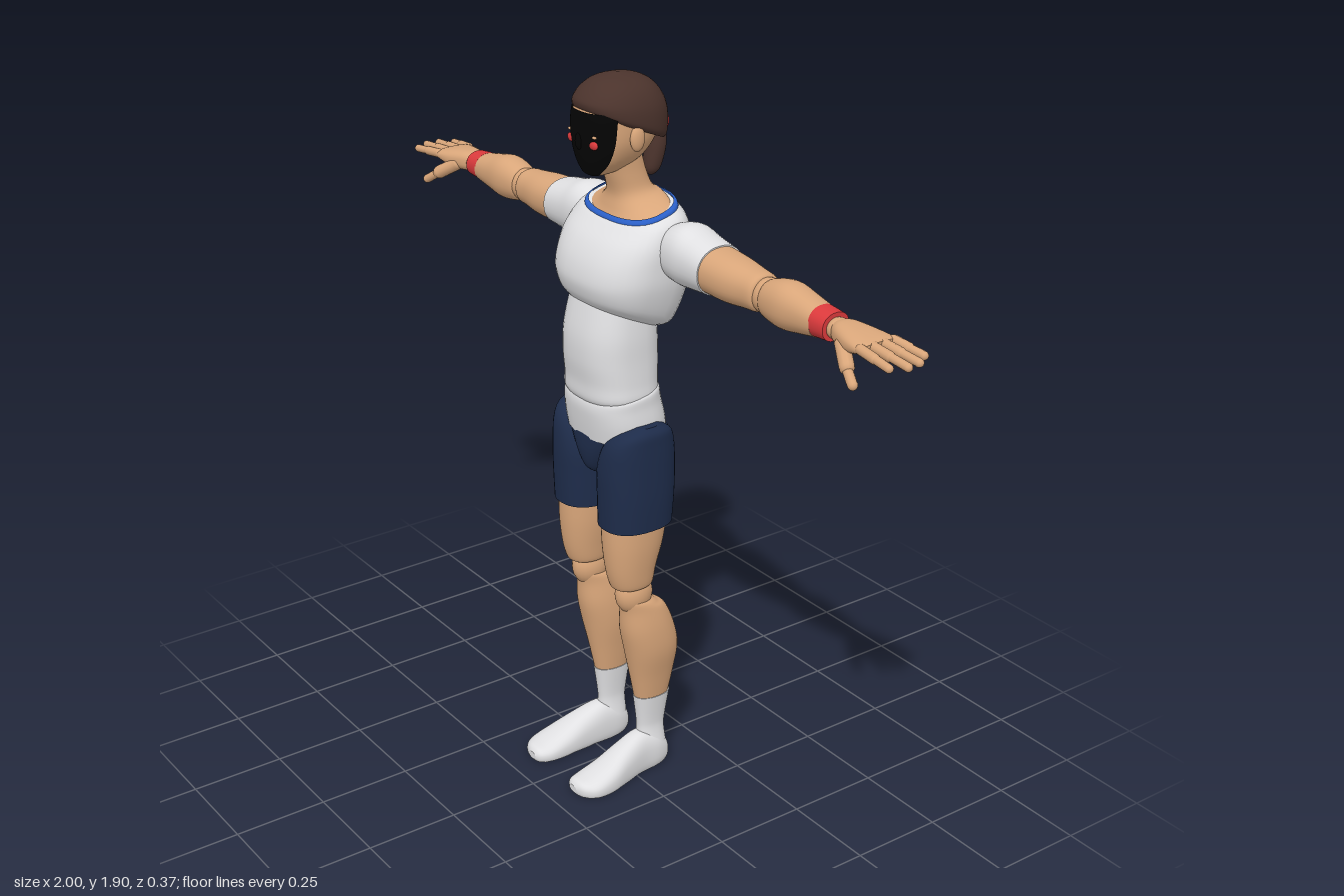
import * as THREE from 'three';

const paint = (name, color) => {
  const m = new THREE.MeshStandardMaterial({ color, side: THREE.DoubleSide });
  m.name = name;
  return m;
};

// Smooth curve through four neighbouring values
const spline = (a, b, c, d, t) =>
  b + 0.5 * t * (c - a + t * (2 * a - 5 * b + 4 * c - d + t * (3 * (b - c) + d - a)));

// Skin over oval sections along an axis.
// Row: [position, centre A, centre B, radius A, radius B, tilt]; A, B are the other two axes in xyz order.
function loft(axis, rows, { n = 2.2, arc = null, grow = 1, steps = 5, sides = 36, caps = true, floor = null } = {}) {
  const rings = [];
  const at = i => rows[Math.min(Math.max(i, 0), rows.length - 1)];
  for (let i = 0; i < rows.length - 1; i++)
    for (let k = 0; k < steps + (i === rows.length - 2 ? 1 : 0); k++)
      rings.push([0, 1, 2, 3, 4, 5].map(j =>
        spline(at(i - 1)[j] ?? 0, at(i)[j] ?? 0, at(i + 1)[j] ?? 0, at(i + 2)[j] ?? 0, k / steps)));
  const pos = [], idx = [];
  const put = (t, a, b) => {
    const p = axis === 'x' ? [t, a, b] : axis === 'y' ? [a, t, b] : [a, b, t];
    if (floor !== null) p[1] = Math.max(p[1], floor);
    return pos.push(...p) / 3 - 1;
  };
  const [start, span] = arc ?? [0, Math.PI * 2];
  const count = arc ? sides + 1 : sides;
  const power = v => Math.sign(v) * Math.abs(v) ** (2 / n);
  const ringOf = ([t, ca, cb, ra, rb, tilt]) => {
    const first = pos.length / 3;
    for (let j = 0; j < count; j++) {
      const th = start + span * j / sides;
      const b = cb + power(Math.sin(th)) * Math.max(rb, 0.001) * grow;
      put(t + tilt * b, ca + power(Math.cos(th)) * Math.max(ra, 0.001) * grow, b);
    }
    return first;
  };
  const tri = (a, b, c) => axis === 'y' ? idx.push(a, c, b) : idx.push(a, b, c);
  const next = j => arc ? j + 1 : (j + 1) % count;
  let last = -1;
  for (const r of rings) {
    const cur = ringOf(r);
    if (last >= 0) for (let j = 0; j < sides; j++) {
      tri(last + j, last + next(j), cur + next(j));
      tri(last + j, cur + next(j), cur + j);
    }
    last = cur;
  }
  if (caps && !arc) [rings[0], rings.at(-1)].forEach((r, end) => {
    const ring = ringOf(r), mid = put(r[0] + r[5] * r[2], r[1], r[2]);
    for (let j = 0; j < sides; j++)
      end ? tri(ring + j, ring + next(j), mid) : tri(ring + next(j), ring + j, mid);
  });
  const g = new THREE.BufferGeometry();
  g.setAttribute('position', new THREE.Float32BufferAttribute(pos, 3));
  g.setIndex(idx);
  g.computeVertexNormals();
  return g;
}

const ball = (x, y, z, rx, ry, rz) =>
  new THREE.SphereGeometry(1, 24, 16).scale(rx, ry, rz).translate(x, y, z);

// Rounded bar between two points
function bar(a, b, r) {
  const A = new THREE.Vector3(...a), B = new THREE.Vector3(...b), d = B.clone().sub(A);
  const q = new THREE.Quaternion().setFromUnitVectors(new THREE.Vector3(0, 1, 0), d.clone().normalize());
  const mid = A.add(B).multiplyScalar(0.5);
  return new THREE.CapsuleGeometry(r, d.length(), 5, 12).applyQuaternion(q).translate(mid.x, mid.y, mid.z);
}

function mirrored(g) {
  const m = g.clone().scale(-1, 1, 1), ix = m.index.array;
  for (let i = 0; i < ix.length; i += 3) [ix[i], ix[i + 1]] = [ix[i + 1], ix[i]];
  return m;
}

export function createModel() {
  const model = new THREE.Group();
  const skin = paint('skin', 0xd9a67a), white = paint('white cloth', 0xe0e0e2), navy = paint('navy cloth', 0x1e2c4a);
  const hair = paint('brown hair', 0x4b332c), black = paint('black mask', 0x040404);
  const red = paint('red', 0xdb3a3c), blue = paint('blue trim', 0x2b5fc6);

  const add = (name, g, mat) => {
    const mesh = new THREE.Mesh(g, mat);
    mesh.name = name;
    model.add(mesh);
  };
  const pair = (name, g, mat) => {
    add(name + 'Left', g, mat);
    add(name + 'Right', mirrored(g), mat);
  };

  // Torso
  add('chest', loft('y', [
    [1.31, 0, -0.01, 0.112, 0.095, 0.45], [1.335, 0, -0.02, 0.15, 0.118, 0.38], [1.40, 0, -0.035, 0.174, 0.14, 0.1],
    [1.46, 0, -0.045, 0.179, 0.138, 0], [1.51, 0, -0.057, 0.178, 0.122, -0.05], [1.545, 0, -0.066, 0.165, 0.095, -0.15],
    [1.557, 0, -0.064, 0.135, 0.075, -0.3]], { n: 2.5 }), white);
  add('abdomen', loft('y', [
    [1.08, 0, -0.005, 0.105, 0.088], [1.10, 0, -0.005, 0.126, 0.1], [1.14, 0, -0.005, 0.124, 0.102],
    [1.2, 0, -0.003, 0.121, 0.107], [1.27, 0, -0.003, 0.119, 0.104], [1.36, 0, -0.01, 0.11, 0.09]], { n: 2.5 }), white);
  add('hips', loft('y', [
    [0.985, 0, -0.025, 0.132, 0.108], [1.03, 0, -0.018, 0.136, 0.108], [1.075, 0, -0.01, 0.132, 0.104, -0.06],
    [1.105, 0, -0.008, 0.13, 0.098, -0.15], [1.107, 0, -0.008, 0.115, 0.088, -0.15]], { n: 2.5 }), white);
  add('shortsSeat', loft('y', [
    [0.865, 0, -0.015, 0.015, 0.04], [0.89, 0, -0.018, 0.042, 0.085], [0.94, 0, -0.025, 0.085, 0.108],
    [0.99, 0, -0.03, 0.132, 0.114, 0.1], [1.005, 0, -0.03, 0.134, 0.113, 0.12]], { n: 2.3 }), navy);

  // Neck and collar
  add('neck', loft('y', [
    [1.553, 0, -0.064, 0.134, 0.073, -0.3], [1.575, 0, -0.066, 0.09, 0.066, -0.25], [1.61, 0, -0.06, 0.058, 0.054, -0.1],
    [1.66, 0, -0.045, 0.05, 0.052], [1.71, 0, -0.03, 0.05, 0.052]]), skin);
  add('collar', loft('y', [
    [1.546, 0, -0.065, 0.143, 0.083, -0.3], [1.558, 0, -0.064, 0.141, 0.081, -0.3], [1.563, 0, -0.064, 0.131, 0.073, -0.3]],
    { n: 2.5, caps: false }), blue);

  // Head, mask and hair
  const headRows = [
    [1.665, 0, 0.03, 0.02, 0.028], [1.675, 0, 0.02, 0.036, 0.05], [1.705, 0, 0.0, 0.065, 0.08],
    [1.75, 0, -0.014, 0.086, 0.1], [1.8, 0, -0.02, 0.092, 0.106], [1.828, 0, -0.022, 0.09, 0.104]];
  add('head', loft('y', [...headRows, [1.87, 0, -0.025, 0.07, 0.085]], { n: 2.3 }), skin);
  add('mask', loft('y', headRows, { n: 2.3, grow: 1.04, arc: [Math.PI / 2 - 1.08, 2.16] }), black);
  add('maskNose', ball(0, 1.755, 0.086, 0.012, 0.022, 0.012), black);
  pair('cheekSpot', ball(0.045, 1.752, 0.078, 0.016, 0.011, 0.007), red);
  pair('eyeGlint', ball(0.05, 1.772, 0.079, 0.008, 0.0035, 0.004), skin);
  pair('ear', ball(0.094, 1.765, -0.015, 0.012, 0.032, 0.02), skin);
  add('hairCap', loft('y', [
    [1.793, 0, -0.03, 0.096, 0.108, 0.42], [1.806, 0, -0.031, 0.104, 0.115, 0.36], [1.84, 0, -0.031, 0.101, 0.114, 0.14],
    [1.873, 0, -0.028, 0.082, 0.092, 0.03], [1.895, 0, -0.025, 0.05, 0.058], [1.905, 0, -0.024, 0.004, 0.005]]), hair);
  add('ponytail', loft('y', [
    [1.635, 0, -0.125, 0.008, 0.008], [1.655, 0, -0.128, 0.022, 0.021], [1.71, 0, -0.138, 0.028, 0.025],
    [1.76, 0, -0.142, 0.02, 0.02]]), hair);
  add('hairTie', ball(0, 1.768, -0.148, 0.03, 0.033, 0.021), red);

  // Arms
  pair('sleeve', loft('x', [
    [0.135, 1.492, -0.093, 0.045, 0.045], [0.16, 1.493, -0.093, 0.066, 0.066], [0.21, 1.494, -0.093, 0.077, 0.073],
    [0.26, 1.49, -0.092, 0.07, 0.071], [0.322, 1.487, -0.091, 0.061, 0.069]]), white);
  pair('upperArm', loft('x', [
    [0.315, 1.487, -0.091, 0.058, 0.066], [0.39, 1.484, -0.09, 0.056, 0.061], [0.45, 1.483, -0.09, 0.05, 0.051],
    [0.487, 1.482, -0.09, 0.046, 0.046], [0.495, 1.482, -0.09, 0.034, 0.034]]), skin);
  pair('elbow', ball(0.505, 1.48, -0.09, 0.042, 0.044, 0.042), skin);
  pair('forearm', loft('x', [
    [0.512, 1.48, -0.09, 0.036, 0.034], [0.52, 1.48, -0.09, 0.047, 0.044], [0.58, 1.482, -0.09, 0.058, 0.052],
    [0.64, 1.481, -0.09, 0.049, 0.047], [0.695, 1.48, -0.089, 0.038, 0.042]]), skin);
  pair('wristband', loft('x', [
    [0.692, 1.481, -0.089, 0.038, 0.042], [0.715, 1.481, -0.089, 0.036, 0.041], [0.74, 1.481, -0.088, 0.034, 0.039]], { steps: 2 }), red);
  pair('wrist', ball(0.75, 1.48, -0.088, 0.028, 0.026, 0.03), skin);
  pair('palm', loft('x', [
    [0.755, 1.48, -0.088, 0.024, 0.028], [0.775, 1.48, -0.088, 0.028, 0.038], [0.82, 1.478, -0.088, 0.027, 0.051],
    [0.865, 1.48, -0.09, 0.017, 0.058], [0.88, 1.48, -0.091, 0.011, 0.055]], { n: 2.5 }), skin);

  // Fingers: z at the knuckle, length
  [[-0.043, 0.098], [-0.076, 0.117], [-0.108, 0.112], [-0.139, 0.088]].forEach(([z, len], i) => {
    const at = f => [0.873 + len * f, 1.482 - 0.009 * f, z + (z + 0.09) * 0.15 * f];
    pair('finger' + i + 'Base', bar(at(0), at(0.5), 0.0125), skin);
    pair('finger' + i + 'Tip', bar(at(0.54), at(1), 0.0105), skin);
  });
  pair('thumbBase', bar([0.80, 1.468, -0.055], [0.848, 1.437, -0.028], 0.018), skin);
  pair('thumbTip', bar([0.85, 1.435, -0.026], [0.887, 1.411, -0.012], 0.012), skin);

  // Legs
  pair('shortsLeg', loft('y', [
    [0.757, 0.098, -0.011, 0.077, 0.097], [0.84, 0.099, -0.012, 0.079, 0.101], [0.92, 0.1, -0.012, 0.077, 0.102],
    [0.985, 0.113, -0.012, 0.062, 0.093], [1.02, 0.13, -0.015, 0.042, 0.07], [1.037, 0.137, -0.018, 0.02, 0.03]], { n: 2.4 }), navy);
  pair('thigh', loft('y', [
    [0.575, 0.098, 0, 0.035, 0.045], [0.582, 0.098, 0, 0.046, 0.058], [0.63, 0.098, 0.002, 0.054, 0.069],
    [0.70, 0.097, -0.004, 0.063, 0.083], [0.775, 0.096, -0.01, 0.067, 0.091]]), skin);
  pair('knee', ball(0.098, 0.548, -0.008, 0.041, 0.058, 0.053), skin);
  pair('shin', loft('y', [
    [0.215, 0.091, -0.072, 0.031, 0.05], [0.29, 0.093, -0.071, 0.043, 0.064], [0.37, 0.096, -0.066, 0.057, 0.076],
    [0.44, 0.097, -0.051, 0.058, 0.075], [0.5, 0.098, -0.036, 0.05, 0.062], [0.53, 0.098, -0.022, 0.044, 0.052, 0.2],
    [0.538, 0.098, -0.02, 0.034, 0.04, 0.2]]), skin);
  pair('sock', loft('y', [
    [0.07, 0.091, -0.07, 0.035, 0.045], [0.115, 0.09, -0.071, 0.026, 0.041], [0.15, 0.09, -0.072, 0.026, 0.044],
    [0.222, 0.091, -0.073, 0.034, 0.054]]), white);
  pair('foot', loft('z', [
    [-0.122, 0.092, 0.035, 0.008, 0.012], [-0.112, 0.092, 0.035, 0.026, 0.034], [-0.08, 0.092, 0.043, 0.037, 0.058],
    [-0.03, 0.093, 0.045, 0.039, 0.068], [0.03, 0.1, 0.034, 0.045, 0.06], [0.09, 0.107, 0.02, 0.053, 0.046],
    [0.145, 0.108, 0.014, 0.053, 0.031], [0.176, 0.103, 0.015, 0.038, 0.022], [0.188, 0.098, 0.015, 0.016, 0.01]],
    { n: 2.4, floor: 0 }), white);

  return model;
}
